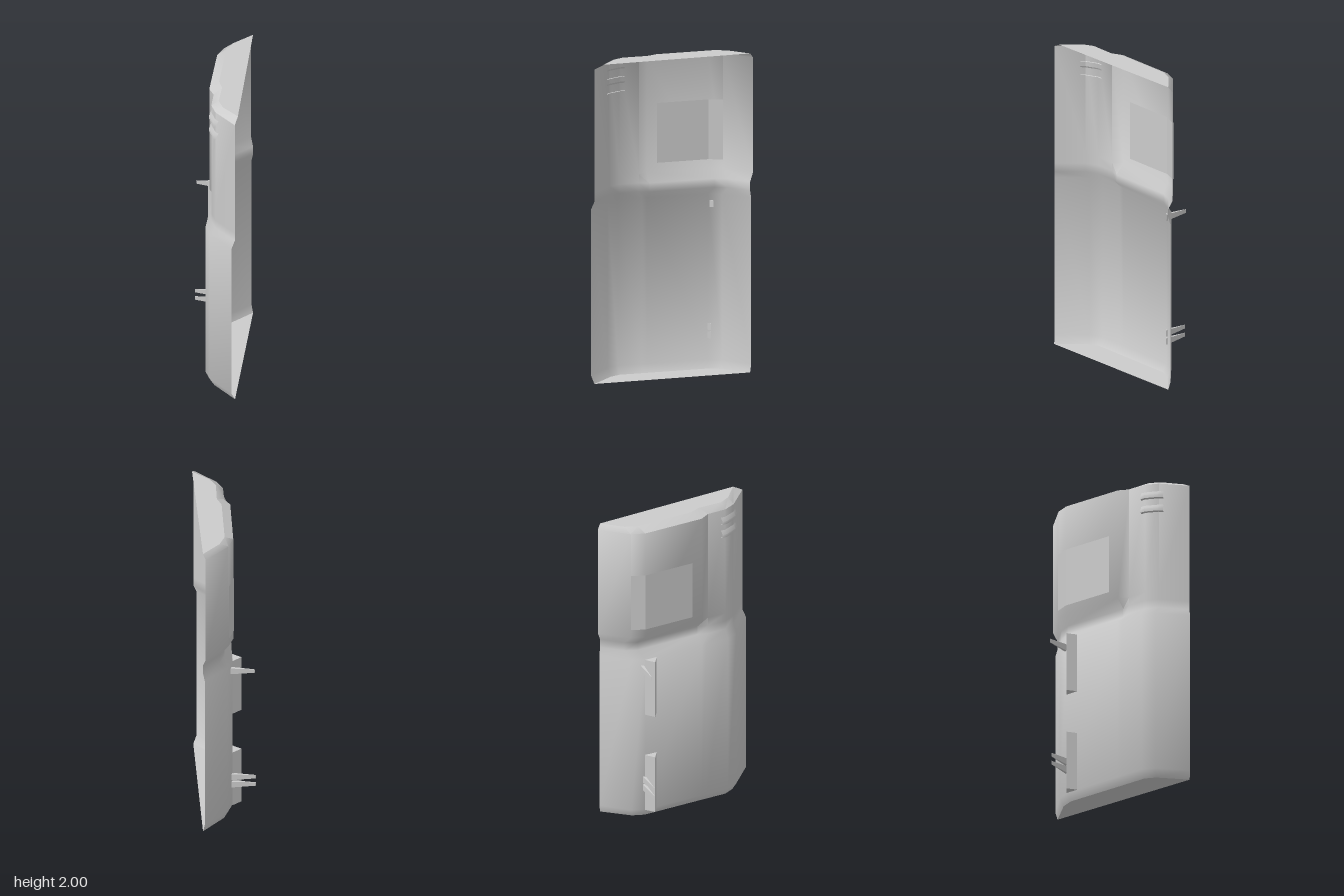
import * as THREE from 'three';
import { toCreasedNormals } from 'three/addons/utils/BufferGeometryUtils.js';

const material = new THREE.MeshStandardMaterial({ color: 0xcccccc, side: THREE.DoubleSide });

// Skin a list of rows; each row is { y, pts: [[x, z], ...] }, listed bottom to top
function loft(rows, crease) {
  const pos = [], index = [], n = rows[0].pts.length;
  for (const { y, pts } of rows) for (const [x, z] of pts) pos.push(x, y, z);
  for (let r = 0; r < rows.length - 1; r++) {
    for (let c = 0; c < n - 1; c++) {
      const a = r * n + c, b = a + 1, d = a + n, e = d + 1;
      index.push(a, d, b, b, d, e);
    }
  }
  const g = new THREE.BufferGeometry();
  g.setAttribute('position', new THREE.Float32BufferAttribute(pos, 3));
  g.setIndex(index);
  return toCreasedNormals(g, crease);
}

// Flat horizontal plate bounded by a wall section and its chord
function plate(pts, y) {
  const g = new THREE.ShapeGeometry(new THREE.Shape(pts.map(([x, z]) => new THREE.Vector2(x, -z))));
  return g.rotateX(-Math.PI / 2).translate(0, y, 0);
}

const shift = (pts, nx, nz, d) => pts.map(([x, z]) => [x + nx * d, z + nz * d]);

// Pin tapering from its root to a thin tip
function pinGeometry(root, tip, y) {
  const g = new THREE.BoxGeometry(1, 1, 1);
  const p = g.attributes.position;
  for (let i = 0; i < p.count; i++) {
    const atTip = p.getZ(i) < 0;
    const [x, z] = atTip ? tip : root;
    const w = atTip ? 0.002 : 0.024, h = atTip ? 0.024 : 0.042;
    p.setXYZ(i, x + p.getX(i) * w, y + p.getY(i) * h, z);
  }
  const flat = g.toNonIndexed();
  flat.computeVertexNormals();
  return flat;
}

export function createModel() {
  const group = new THREE.Group();
  const add = (name, geometry) => {
    const mesh = new THREE.Mesh(geometry, material);
    mesh.name = name;
    group.add(mesh);
  };

  // Wall sections, running from the -x end to the +x end
  const floor = [[-0.37, 0.385], [-0.35, 0.18], [-0.32, 0.115], [-0.205, 0.02], [-0.18, 0], [0.11, -0.24], [0.185, -0.265], [0.384, -0.254]];
  const lower = [[-0.395, 0.38], [-0.377, 0.168], [-0.34, 0.092], [-0.225, -0.003], [-0.2, -0.023], [0.1, -0.264], [0.183, -0.288], [0.385, -0.268]];
  const pillar = [[-0.371, 0.384], [-0.355, 0.195], [-0.318, 0.12], [-0.225, 0.042]];
  const groove = [...pillar, [-0.165, 0.02], [0.152, -0.244], [0.232, -0.267], [0.384, -0.254]];
  const upper = [...pillar, [-0.2, -0.023], [0.1, -0.271], [0.185, -0.298], [0.392, -0.28]];
  const top = [[-0.32, 0.357], [-0.315, 0.22], [-0.285, 0.15], [-0.165, 0.053], [-0.13, -0.01], [0.152, -0.244], [0.232, -0.267], [0.384, -0.254]];

  add('doorShell', loft([
    { y: 0, pts: floor }, { y: 0.05, pts: lower }, { y: 1.09, pts: lower },
    { y: 1.14, pts: groove }, { y: 1.195, pts: groove }, { y: 1.25, pts: upper },
    { y: 1.97, pts: upper }, { y: 2, pts: top },
  ], 1.0));
  add('topPlate', plate(top, 2));
  add('bottomPlate', plate(floor, 0));

  // Window pane, following the bend of the upper wall on both faces
  const pane = [[-0.15, -0.064], [0.1, -0.271], [0.185, -0.298]];
  for (const [name, d] of [['windowOuter', 0.003], ['windowInner', -0.003]]) {
    const pts = shift(pane, -0.64, -0.77, d);
    add(name, loft([{ y: 1.305, pts }, { y: 1.68, pts }], 0.1));
  }

  // Louvres wrapped round the pillar corner, flared at their lower lip
  const vent = [[-0.358, 0.225], [-0.355, 0.195], [-0.318, 0.12], [-0.295, 0.1]];
  for (const y of [1.78, 1.87]) {
    const inner = shift(vent, -0.87, -0.5, -0.006);
    const lip = shift(vent, -0.87, -0.5, 0.014);
    add('louvre', loft([
      { y, pts: inner }, { y: y + 0.005, pts: lip },
      { y: y + 0.025, pts: lip }, { y: y + 0.06, pts: inner },
    ], 0.6));
  }

  // Triangular hinge blocks on the outer face
  for (const y of [0.05, 0.71]) {
    const tri = new THREE.Shape([[0.036, 0.285], [0.04, 0.218], [0.104, 0.268]].map(([x, v]) => new THREE.Vector2(x, v)));
    const g = new THREE.ExtrudeGeometry(tri, { depth: 0.38, bevelEnabled: false });
    add('hingeBlock', g.rotateX(-Math.PI / 2).translate(0, y, 0));
  }

  // Hinge pins
  add('upperPin', pinGeometry([0.125, -0.262], [0.038, -0.387], 1.03));
  for (const y of [0.205, 0.258]) add('lowerPin', pinGeometry([0.11, -0.262], [0.021, -0.383], y));

  return group;
}
